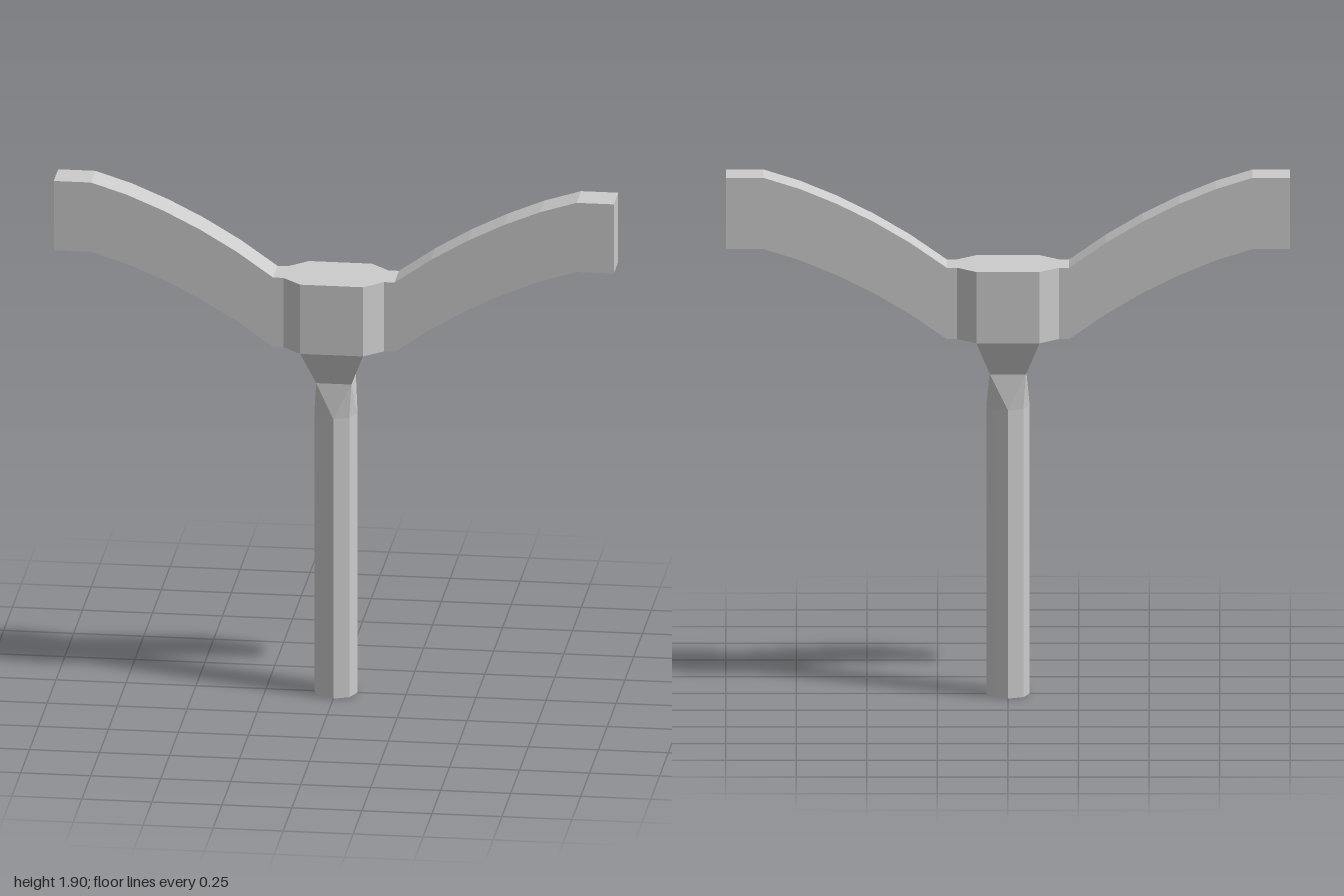
import * as THREE from 'three';

const material = new THREE.MeshStandardMaterial({ color: 0xcccccc, flatShading: true });

function addMesh(group, geometry, name) {
  const mesh = new THREE.Mesh(geometry, material);
  mesh.name = name;
  group.add(mesh);
}

// Eight-point rings, starting on +x and alternating side middles and corners
function octagonRing(r, y) {
  return Array.from({ length: 8 }, (_, i) => {
    const a = (i * Math.PI) / 4;
    return [r * Math.cos(a), y, r * Math.sin(a)];
  });
}

function rectangleRing(hx, hz, y) {
  return octagonRing(1, y).map(([x, , z]) => [
    hx * Math.sign(Math.round(x * 2)), y, hz * Math.sign(Math.round(z * 2)),
  ]);
}

// Joins consecutive rings, with diagonals running from side middles to corners
function loft(rings, capBottom) {
  const pos = [];
  const tri = (...points) => points.forEach((p) => pos.push(...p));
  for (let k = 0; k < rings.length - 1; k++) {
    const L = rings[k], U = rings[k + 1];
    for (let i = 0; i < 8; i++) {
      const j = (i + 1) % 8;
      if (i % 2 === 0) {
        tri(L[i], U[j], L[j]);
        tri(L[i], U[i], U[j]);
      } else {
        tri(L[i], U[i], L[j]);
        tri(L[j], U[i], U[j]);
      }
    }
  }
  if (capBottom) {
    const B = rings[0];
    for (let i = 0; i < 8; i++) tri([0, B[0][1], 0], B[i], B[(i + 1) % 8]);
  }
  const geometry = new THREE.BufferGeometry();
  geometry.setAttribute('position', new THREE.Float32BufferAttribute(pos, 3));
  geometry.computeVertexNormals();
  return geometry;
}

function extrude(points, depth) {
  const shape = new THREE.Shape(points.map(([x, y]) => new THREE.Vector2(x, y)));
  return new THREE.ExtrudeGeometry(shape, { depth, bevelEnabled: false });
}

export function createModel() {
  const group = new THREE.Group();
  const bottom = 1.308, height = 0.26, halfArm = 0.063;

  // Eight-sided shaft blending into a square, then a flared collar
  const foot = octagonRing(0.077, 0);
  const shoulder = octagonRing(0.077, 1.05);
  const neck = rectangleRing(0.063, 0.063, 1.178);
  const flare = rectangleRing(0.112, 0.127, bottom);
  addMesh(group, loft([foot, shoulder, neck], true), 'shaft');
  addMesh(group, loft([neck, flare], false), 'collar');

  // Chamfered hub block
  const hub = extrude([
    [0.18, -halfArm], [0.18, halfArm], [0.112, 0.127], [-0.112, 0.127],
    [-0.18, halfArm], [-0.18, -halfArm], [-0.112, -0.127], [0.112, -0.127],
  ], height);
  hub.rotateX(-Math.PI / 2).translate(0, bottom, 0);
  addMesh(group, hub, 'hub');

  // Curved arms of constant height with flat ends
  const curve = [
    [0.18, 0], [0.217, 0], [0.347, 0.091], [0.477, 0.168],
    [0.607, 0.233], [0.737, 0.287], [0.867, 0.328], [1, 0.328],
  ];
  for (const side of [1, -1]) {
    const lower = curve.map(([x, y]) => [side * x, bottom + y]);
    const upper = lower.map(([x, y]) => [x, y + height]).reverse();
    const arm = extrude([...lower, ...upper], halfArm * 2);
    arm.translate(0, 0, -halfArm);
    addMesh(group, arm, side > 0 ? 'leftArm' : 'rightArm');
  }
  return group;
}
